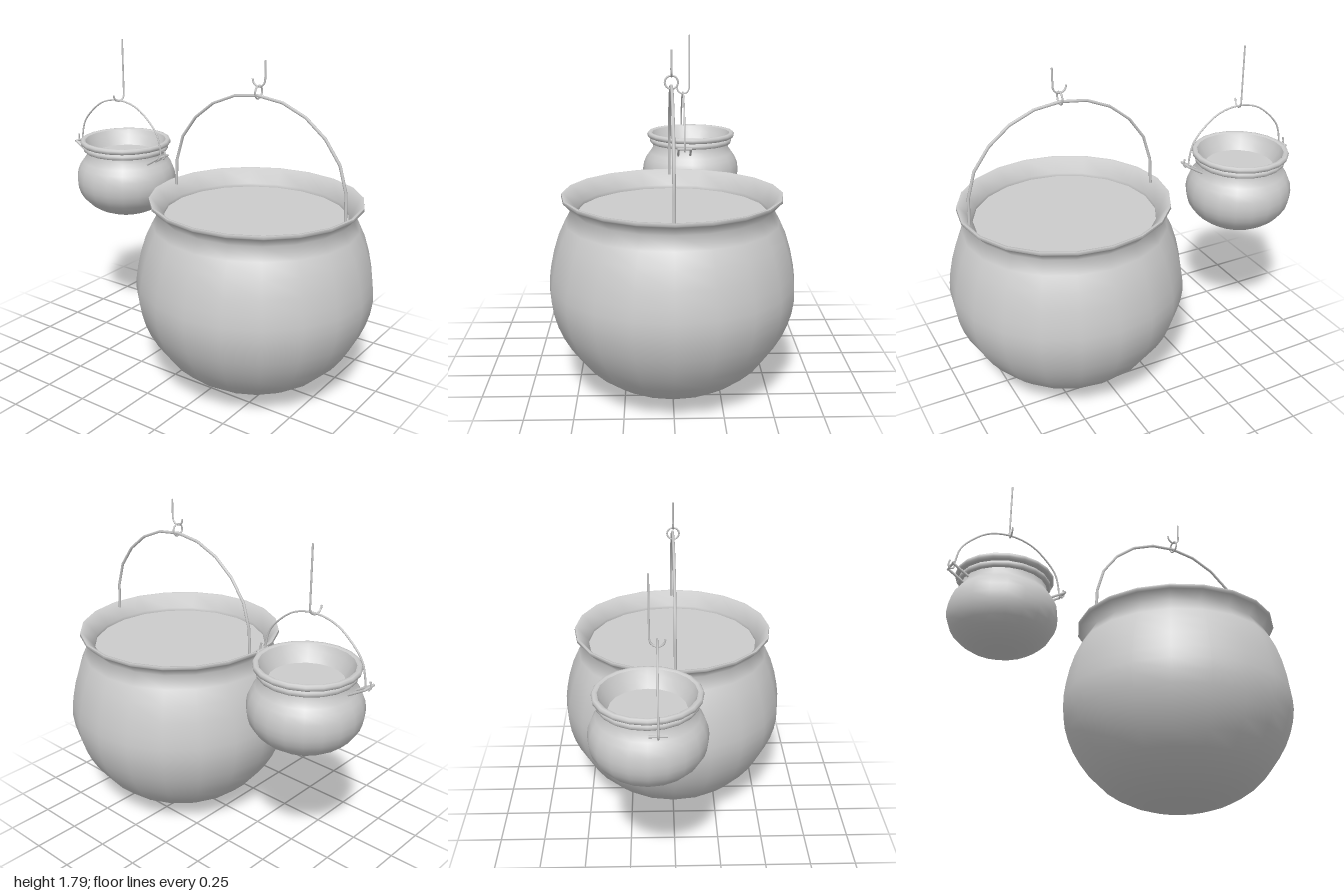
import * as THREE from 'three';
import { toCreasedNormals } from 'three/addons/utils/BufferGeometryUtils.js';

const iron = new THREE.MeshStandardMaterial({ color: 0xcccccc, side: THREE.DoubleSide });

function add(parent, name, geometry) {
  const mesh = new THREE.Mesh(geometry, iron);
  mesh.name = name;
  parent.add(mesh);
  return mesh;
}

// Twenty-sided smooth turned part from [radius, height] pairs
function turned(parent, name, profile) {
  const points = profile.map(([r, y]) => new THREE.Vector2(r, y));
  return add(parent, name, toCreasedNormals(new THREE.LatheGeometry(points, 20), 1.3));
}

// Bent wire through [x, y, z] points
function wire(parent, name, points, radius, segments) {
  const curve = new THREE.CatmullRomCurve3(points.map((p) => new THREE.Vector3(...p)), false, 'centripetal');
  return add(parent, name, new THREE.TubeGeometry(curve, segments, radius, 6));
}

// Hanging hook in the x-y plane: shank on +x, open tip on -x, bottom at y = 0
function hook(parent, name, r, shankTop, wireRadius) {
  const points = [[r, shankTop, 0], [r, shankTop * 0.6, 0], [r, r * 1.4, 0]];
  for (let i = 0; i <= 6; i++) {
    const a = -Math.PI * i / 6;
    points.push([r * Math.cos(a), r + r * Math.sin(a), 0]);
  }
  return wire(parent, name, points, wireRadius, 32);
}

// Arched handle in the y-z plane, mirrored from one half listed end to crown
function bail(parent, name, half, wireRadius, segments) {
  const front = half.map(([z, y]) => [0, y, z]);
  const back = front.slice(0, -1).reverse().map(([x, y, z]) => [x, y, -z]);
  return wire(parent, name, [...front, ...back], wireRadius, segments);
}

function largeCauldron() {
  const g = new THREE.Group();
  g.name = 'largeCauldron';
  // Belly, neck and flared rim in one smooth skin
  turned(g, 'largeBody', [
    [0, 0.002], [0.1, 0.009], [0.2, 0.026], [0.275, 0.05], [0.345, 0.083], [0.42, 0.133], [0.49, 0.2],
    [0.545, 0.275], [0.585, 0.345], [0.612, 0.41], [0.632, 0.48], [0.642, 0.55], [0.64, 0.61],
    [0.631, 0.675], [0.613, 0.76], [0.585, 0.85], [0.55, 0.925], [0.513, 0.992],
    [0.558, 1.042], [0.568, 1.05], [0.566, 1.063], [0.552, 1.063], [0.49, 0.985], [0.49, 0.965]]);
  turned(g, 'largeContents', [[0.492, 0.967], [0, 0.967]]);

  // Faceted handle, ring around its crown, and the hook holding the ring
  bail(g, 'largeHandle', [
    [0.525, 1.04], [0.52, 1.12], [0.51, 1.25], [0.43, 1.397], [0.312, 1.512], [0.155, 1.587], [0, 1.608]],
  0.008, 12).position.x = -0.005;
  add(g, 'hangingRing', new THREE.TorusGeometry(0.033, 0.005, 6, 16)).position.set(-0.005, 1.627, 0.003);
  const h = hook(g, 'largeHook', 0.037, 0.135, 0.005);
  h.rotation.y = -Math.PI / 2;
  h.position.set(-0.005, 1.655, 0.003);
  g.position.z = 0.357;
  return g;
}

function smallCauldron() {
  const g = new THREE.Group();
  g.name = 'smallCauldron';
  turned(g, 'smallBody', [
    [0, 0.739], [0.07, 0.744], [0.13, 0.758], [0.18, 0.779], [0.226, 0.81], [0.26, 0.845], [0.282, 0.882],
    [0.294, 0.92], [0.297, 0.96], [0.291, 1.005], [0.276, 1.042], [0.255, 1.072], [0.235, 1.1], [0.23, 1.135]]);

  // Two rolled beads around the mouth
  turned(g, 'lowerBead', [
    [0.23, 1.13], [0.245, 1.13], [0.252, 1.138], [0.252, 1.152], [0.245, 1.162], [0.235, 1.164]]);
  turned(g, 'upperBead', [
    [0.235, 1.166], [0.258, 1.166], [0.268, 1.174], [0.269, 1.188], [0.262, 1.198], [0.25, 1.199], [0.24, 1.193]]);
  turned(g, 'innerWall', [[0.24, 1.193], [0.225, 1.16], [0.19, 1.105]]);
  turned(g, 'smallContents', [[0.192, 1.107], [0, 1.107]]);

  // Wire handle with ends curled under the bracket bars
  const handleX = -0.048;
  bail(g, 'smallHandle', [
    [0.332, 1.185], [0.338, 1.155], [0.33, 1.137], [0.315, 1.137], [0.307, 1.15], [0.304, 1.18], [0.28, 1.27],
    [0.213, 1.35], [0.122, 1.413], [0, 1.437]], 0.005, 60).position.x = handleX;

  // Brackets: two arms and a crossbar on each end
  for (const side of [1, -1]) {
    const b = new THREE.Group();
    b.name = side > 0 ? 'frontBracket' : 'backBracket';
    for (const x of [-0.036, 0.036]) {
      wire(b, 'bracketArm', [[x, 1.095, 0.235 * side], [x, 1.15, 0.325 * side]], 0.007, 1);
    }
    wire(b, 'bracketBar', [[-0.043, 1.15, 0.325 * side], [0.043, 1.15, 0.325 * side]], 0.007, 1);
    b.position.x = handleX;
    g.add(b);
  }

  const h = hook(g, 'smallHook', 0.038, 0.355, 0.005);
  h.position.set(handleX, 1.432, 0);
  h.rotation.y = -0.17;
  g.position.set(0.138, 0, -0.66);
  return g;
}

export function createModel() {
  const model = new THREE.Group();
  model.name = 'hangingCauldrons';
  model.add(largeCauldron(), smallCauldron());
  return model;
}
